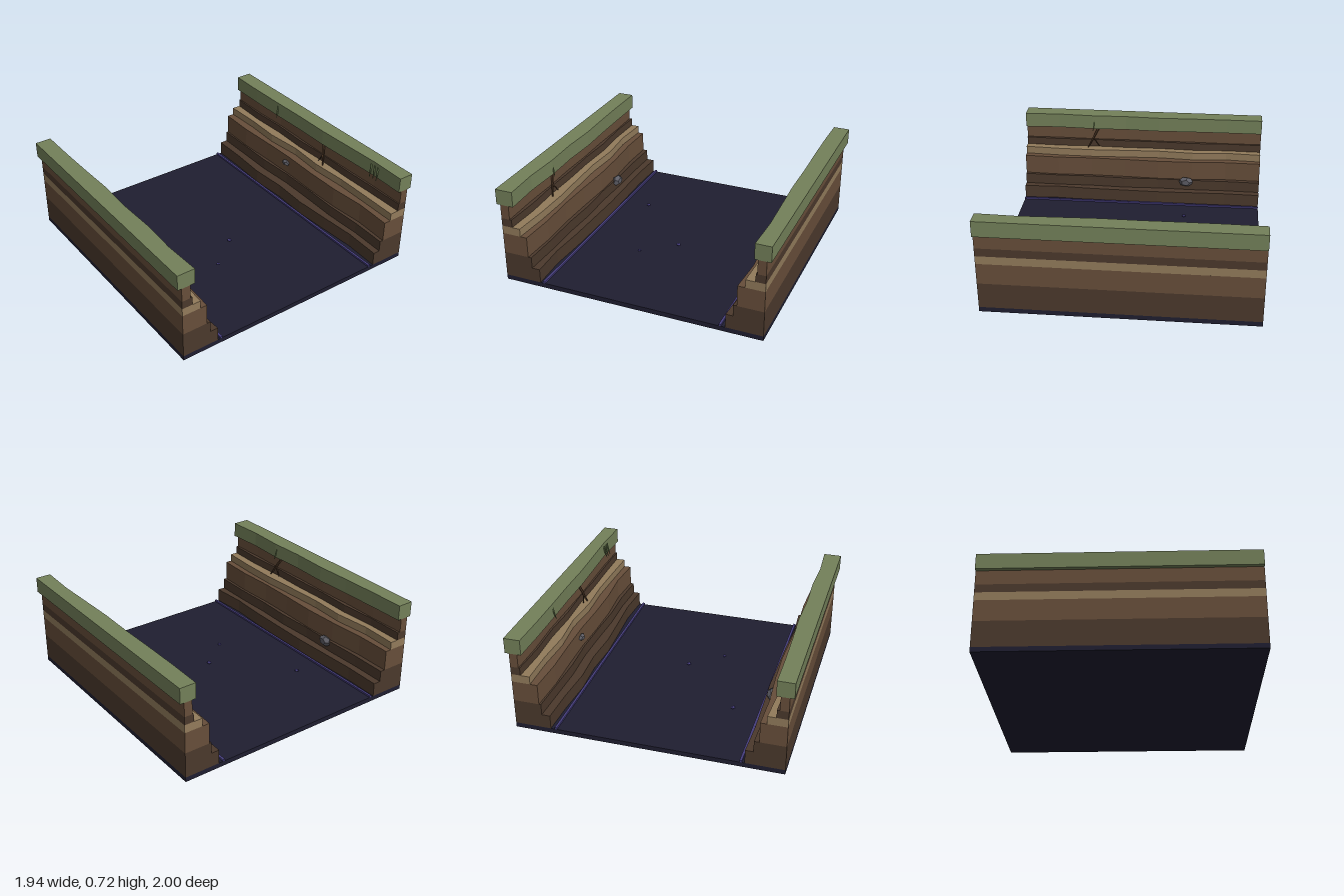
import * as THREE from 'three';

const mat = (color) => new THREE.MeshStandardMaterial({ color, flatShading: true });
const M = {
  grass: mat(0x738059), soil: mat(0x674e3a), darkSoil: mat(0x4b392c), clay: mat(0x927b5b),
  floor: mat(0x1f1e30), glow: mat(0x453d7c), rock: mat(0x5c5c64), root: mat(0x4a3524), blade: mat(0x5f7048),
};
const HALF = 0.97;

// Strata from bottom to top: name, material, bottom, top, outer z,
// inner edge of the back wall and of the front wall at evenly spaced x
const STRATA = [
  ['baseSoil', M.darkSoil, 0.035, 0.14, 0.97,
    [0.704, 0.70, 0.683, 0.70, 0.685, 0.70, 0.717, 0.704], [0.693, 0.70, 0.693, 0.685, 0.69, 0.695, 0.71, 0.695]],
  ['lowerSoil', M.darkSoil, 0.14, 0.225, 0.97,
    [0.765, 0.76, 0.755, 0.77, 0.765, 0.755, 0.765, 0.755], [0.75, 0.755, 0.75, 0.755, 0.745, 0.755, 0.75, 0.755]],
  ['middleSoil', M.soil, 0.225, 0.38, 0.97,
    [0.78, 0.77, 0.78, 0.785, 0.775, 0.775, 0.795, 0.78], [0.786, 0.79, 0.772, 0.765, 0.775, 0.78, 0.77, 0.78]],
  ['clayBand', M.clay, 0.38, 0.44, 0.97,
    [0.833, 0.838, 0.825, 0.85, 0.83, 0.845, 0.84, 0.833], [0.83, 0.845, 0.82, 0.835, 0.825, 0.812, 0.815, 0.83]],
  ['upperDarkSoil', M.darkSoil, 0.44, 0.5, 0.97,
    [0.9, 0.89, 0.9, 0.89, 0.9, 0.895, 0.9, 0.9], [0.89, 0.895, 0.88, 0.89, 0.885, 0.89, 0.88, 0.89]],
  ['topSoil', M.soil, 0.5, 0.605, 0.97,
    [0.91, 0.905, 0.915, 0.91, 0.905, 0.91, 0.915, 0.91], [0.91, 0.905, 0.91, 0.905, 0.91, 0.905, 0.91, 0.905]],
  ['grassCap', M.grass, 0.605, 0.72, 1,
    [0.88, 0.875, 0.876, 0.88, 0.877, 0.886, 0.895, 0.886], [0.88, 0.88, 0.875, 0.866, 0.876, 0.868, 0.88, 0.868]],
];

export function createModel() {
  const model = new THREE.Group();
  const add = (parent, name, geometry, material, x = 0, y = 0, z = 0) => {
    const mesh = new THREE.Mesh(geometry, material);
    mesh.name = name;
    mesh.position.set(x, y, z);
    parent.add(mesh);
    return mesh;
  };

  // One layer: straight outer side, wavy inner side, extruded upward
  const layer = (edge, outer, bottom, top, side) => {
    const shape = new THREE.Shape();
    shape.moveTo(HALF, side * outer);
    shape.lineTo(-HALF, side * outer);
    edge.forEach((z, i) => shape.lineTo(-HALF + (2 * HALF * i) / (edge.length - 1), side * z));
    const g = new THREE.ExtrudeGeometry(shape, { depth: top - bottom, bevelEnabled: false });
    return g.rotateX(Math.PI / 2).translate(0, top, 0);
  };

  // Tapered rod between two points
  const rod = (parent, name, a, b, r0, r1, material) => {
    const p = new THREE.Vector3(...a), q = new THREE.Vector3(...b);
    const dir = q.clone().sub(p);
    const mesh = add(parent, name, new THREE.CylinderGeometry(r1, r0, dir.length(), 5), material);
    mesh.position.copy(p).add(q).multiplyScalar(0.5);
    mesh.quaternion.setFromUnitVectors(new THREE.Vector3(0, 1, 0), dir.normalize());
  };

  // Trench floor
  add(model, 'floor', new THREE.BoxGeometry(2 * HALF, 0.035, 2 * HALF), M.floor, 0, 0.0175, 0);

  // Stepped walls with a glowing strip at each foot
  for (const side of [-1, 1]) {
    const wall = new THREE.Group();
    wall.name = side < 0 ? 'backWall' : 'frontWall';
    model.add(wall);
    for (const [name, material, bottom, top, outer, back, front] of STRATA) {
      add(wall, name, layer(side < 0 ? back : front, outer, bottom, top, side), material);
    }
    add(wall, 'glowStrip', new THREE.BoxGeometry(2 * HALF, 0.014, 0.017), M.glow, 0, 0.042, side * 0.666);
  }

  // Small glowing pebbles on the floor
  for (const [x, z, r] of [[0.12, -0.01, 0.019], [0.31, 0.228, 0.015], [-0.37, 0.465, 0.018]]) {
    add(model, 'pebble', new THREE.IcosahedronGeometry(r, 0), M.glow, x, 0.045, z).scale.y = 0.5;
  }

  // Rocks lodged in the walls
  for (const [x, y, z, sx, sy, sz, turn] of [
    [-0.37, 0.215, 0.742, 0.058, 0.042, 0.034, 0.5],
    [-0.165, 0.318, -0.778, 0.04, 0.026, 0.024, 0.2],
  ]) {
    const g = new THREE.DodecahedronGeometry(1, 0).rotateY(turn).rotateZ(turn);
    add(model, 'rock', g, M.rock, x, y, z).scale.set(sx, sy, sz);
  }

  // Forked roots hanging from under the grass
  for (const [x0, x1, side] of [[0.13, 0.18, -1], [0.37, 0.455, 1]]) {
    const roots = new THREE.Group();
    roots.name = 'roots';
    model.add(roots);
    const fork = [x0 * 0.5 + x1 * 0.5, 0.52, side * 0.88];
    rod(roots, 'rootStem', [x0, 0.6, side * 0.905], fork, 0.011, 0.009, M.root);
    rod(roots, 'rootTip', fork, [x1, 0.44, side * 0.86], 0.009, 0.005, M.root);
    rod(roots, 'rootBranch', fork, [x0 - 0.01, 0.45, side * 0.868], 0.006, 0.003, M.root);
  }

  // Grass blades drooping over the caps
  for (const [x, side, z] of [[0.665, -1, 0.886], [0.7, -1, 0.888], [0.735, -1, 0.886], [-0.42, -1, 0.872], [0.4, 1, 0.868]]) {
    rod(model, 'grassBlade', [x, 0.69, side * (z + 0.012)], [x + 0.012, 0.59, side * (z - 0.012)], 0.011, 0.002, M.blade);
  }

  return model;
}
